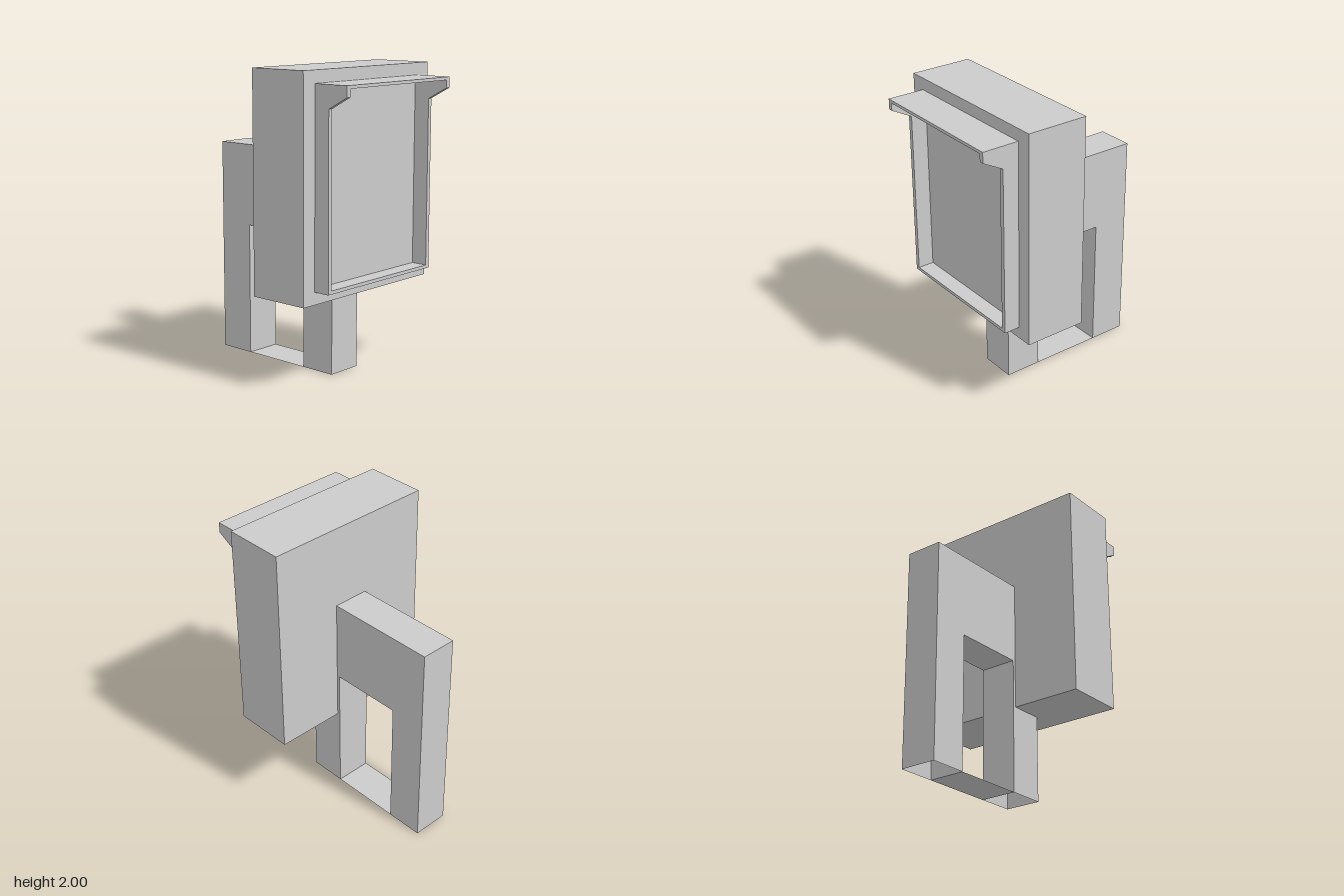
import * as THREE from 'three';

const material = new THREE.MeshStandardMaterial({ color: 0xcccccc, flatShading: true });
const sheetMaterial = new THREE.MeshStandardMaterial({ color: 0xcccccc, flatShading: true, side: THREE.DoubleSide });

const shapeOf = (points) => new THREE.Shape(points.map(([z, y]) => new THREE.Vector2(z, y)));

// Box given by its lower and upper limits on each axis.
function box(name, [x0, x1], [y0, y1], [z0, z1]) {
  const mesh = new THREE.Mesh(new THREE.BoxGeometry(x1 - x0, y1 - y0, z1 - z0), material);
  mesh.position.set((x0 + x1) / 2, (y0 + y1) / 2, (z0 + z1) / 2);
  mesh.name = name;
  return mesh;
}

// Raised rim around the front recess, with a hood jutting out at the top.
function createHood() {
  const hood = new THREE.Group();
  hood.name = 'hood';
  const w = 0.5, t = 0.03, back = 0.47, rim = 0.58, lip = 0.72, bottom = 0.655, top = 1.92;
  const cheek = shapeOf([[back, bottom], [rim, bottom], [rim, 1.775], [lip, 1.85], [lip, top], [back, top]]);
  for (const [name, right] of [['leftCheek', w], ['rightCheek', -w + t]]) {
    const geometry = new THREE.ExtrudeGeometry(cheek, { depth: t, bevelEnabled: false });
    geometry.rotateY(-Math.PI / 2);
    const mesh = new THREE.Mesh(geometry, material);
    mesh.position.x = right;
    mesh.name = name;
    hood.add(mesh);
  }
  hood.add(box('hoodTop', [-w + t, w - t], [1.9, top], [back, lip]));
  hood.add(box('hoodSill', [-w + t, w - t], [bottom, 0.677], [back, rim]));
  return hood;
}

// Two-legged stand: a hollow shell whose legs are open underneath, with a thin floor between them.
function createStand() {
  const stand = new THREE.Group();
  stand.name = 'stand';
  const half = 0.125;
  const arch = [[0.28, 0], [0.28, 1.445], [-0.72, 1.445], [-0.72, 0],
    [-0.465, 0], [-0.465, 0.895], [0.03, 0.895], [0.03, 0]];

  for (const [name, x] of [['leftSide', half], ['rightSide', -half]]) {
    const side = new THREE.Mesh(new THREE.ShapeGeometry(shapeOf(arch)), sheetMaterial);
    side.rotation.y = -Math.PI / 2;
    side.position.x = x;
    side.name = name;
    stand.add(side);
  }

  // Walls follow the arch outline, skipping the leg bottoms; the last one is the floor.
  const runs = [[0, 1], [1, 2], [2, 3], [4, 5], [5, 6], [6, 7], [7, 4]];
  const positions = [];
  for (const [i, j] of runs) {
    const [z0, y0] = arch[i], [z1, y1] = arch[j];
    const a = [-half, y0, z0], b = [half, y0, z0], c = [half, y1, z1], d = [-half, y1, z1];
    positions.push(...a, ...b, ...c, ...a, ...c, ...d);
  }
  const geometry = new THREE.BufferGeometry();
  geometry.setAttribute('position', new THREE.Float32BufferAttribute(positions, 3));
  geometry.computeVertexNormals();
  const walls = new THREE.Mesh(geometry, sheetMaterial);
  walls.name = 'standWalls';
  stand.add(walls);
  return stand;
}

export function createModel() {
  const model = new THREE.Group();
  model.name = 'displayOnStand';
  model.add(box('housing', [-0.6, 0.6], [0.575, 2], [0.05, 0.47]));
  model.add(createHood());
  model.add(createStand());
  return model;
}
